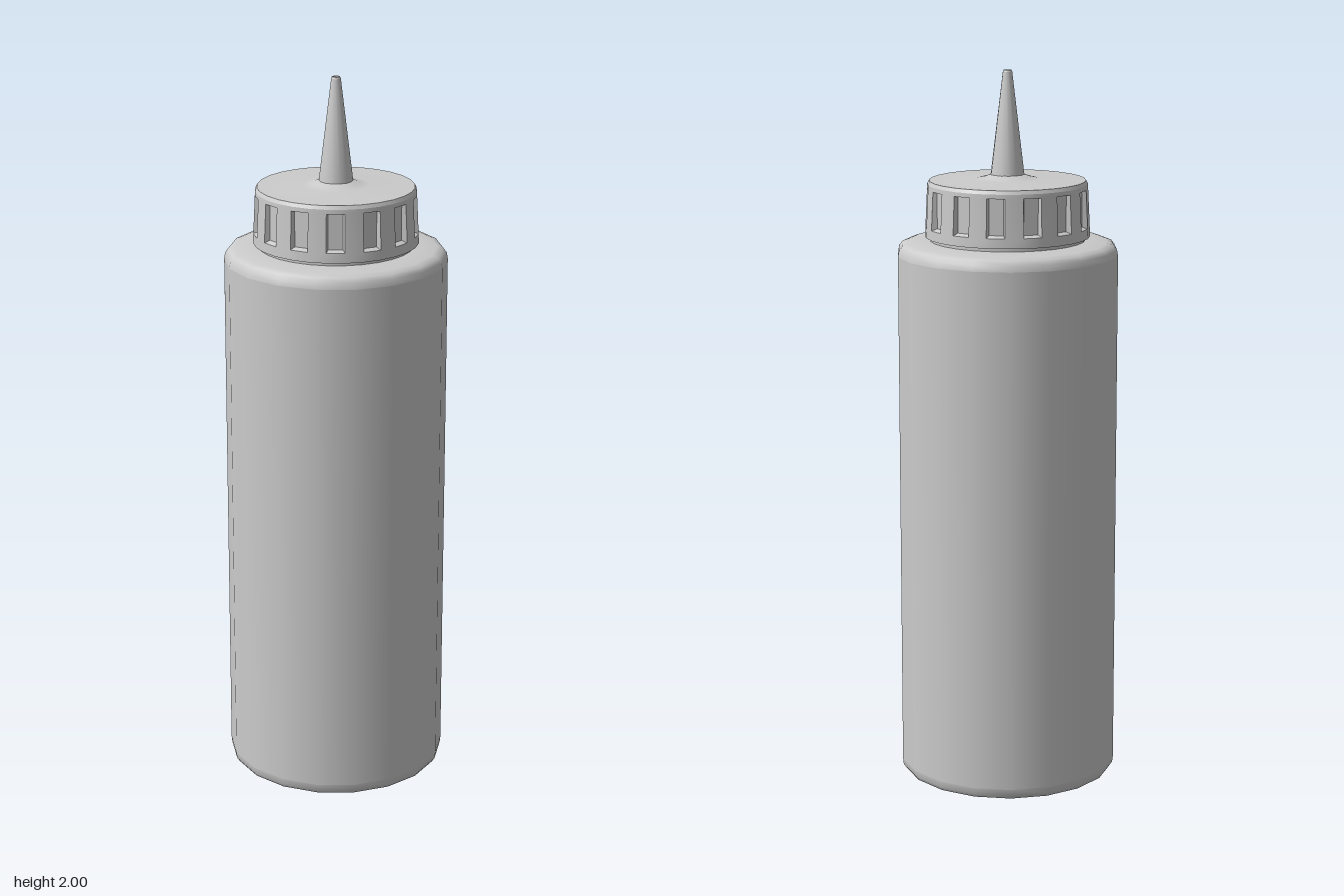
import * as THREE from 'three';
import { toCreasedNormals } from 'three/addons/utils/BufferGeometryUtils.js';

const material = new THREE.MeshStandardMaterial({ color: 0xcccccc, side: THREE.DoubleSide });

// Revolves a [radius, height] profile; a repeated point makes a sharp edge.
function lathe(name, profile, sides, phiStart = 0) {
  const points = profile.map(([r, y]) => new THREE.Vector2(r, y));
  const mesh = new THREE.Mesh(new THREE.LatheGeometry(points, sides, phiStart), material);
  mesh.name = name;
  return mesh;
}

// Ribbed cap wall: every other one of its facets carries a recessed grip notch.
function createCapWall() {
  const facets = 28;
  const bottom = 1.545, top = 1.69, notchLow = 1.572, notchHigh = 1.678;
  const radiusAt = (y) => 0.228 - 0.007 * (y - bottom) / (top - bottom);
  const floorRadius = 0.211;
  const positions = [];
  const point = (r, angle, y) => [r * Math.sin(angle), y, r * Math.cos(angle)];
  const quad = (a, b, c, d) => positions.push(...a, ...b, ...c, ...a, ...c, ...d);

  for (let i = 0; i < facets; i++) {
    const a = ((i - 0.5) / facets) * Math.PI * 2;
    const b = ((i + 0.5) / facets) * Math.PI * 2;
    const outer = (angle, y) => point(radiusAt(y), angle, y);
    const panel = (y0, y1) => quad(outer(a, y0), outer(b, y0), outer(b, y1), outer(a, y1));
    panel(bottom, notchLow);
    panel(notchHigh, top);
    if (i % 2) {
      panel(notchLow, notchHigh);
      continue;
    }
    // Notch floor, sides, ledge and ceiling
    const rim = [outer(a, notchLow), outer(b, notchLow), outer(b, notchHigh), outer(a, notchHigh)];
    const inset = 0.08 * (b - a);
    const floor = [
      point(floorRadius, a + inset, notchLow + 0.006), point(floorRadius, b - inset, notchLow + 0.006),
      point(floorRadius, b - inset, notchHigh), point(floorRadius, a + inset, notchHigh),
    ];
    quad(...floor);
    for (let k = 0; k < 4; k++) {
      const n = (k + 1) % 4;
      quad(rim[k], rim[n], floor[n], floor[k]);
    }
  }

  const geometry = new THREE.BufferGeometry();
  geometry.setAttribute('position', new THREE.Float32BufferAttribute(positions, 3));
  const mesh = new THREE.Mesh(toCreasedNormals(geometry, Math.PI / 7), material);
  mesh.name = 'capWall';
  return mesh;
}

export function createModel() {
  const model = new THREE.Group();
  model.name = 'squeezeBottle';

  // Bottle body with rounded base and shoulder
  model.add(lathe('body', [
    [0, 0], [0.282, 0], [0.282, 0], [0.297, 0.006], [0.305, 0.018], [0.307, 0.035], [0.307, 0.035],
    [0.307, 1.495], [0.307, 1.495], [0.304, 1.512], [0.295, 1.524], [0.278, 1.53],
    [0.235, 1.535], [0.2, 1.535],
  ], 18, Math.PI / 2));

  // Neck ring between the shoulder and the cap
  model.add(lathe('neck', [[0.215, 1.525], [0.215, 1.55]], 28, Math.PI / 28));

  // Cap: ribbed wall, underside and gently raised lid
  const cap = new THREE.Group();
  cap.name = 'cap';
  cap.add(createCapWall());
  cap.add(lathe('capUnderside', [[0.2, 1.545], [0.228, 1.545]], 28, Math.PI / 28));
  cap.add(lathe('capLid', [
    [0.221, 1.69], [0.216, 1.7], [0.216, 1.7], [0.09, 1.703], [0.065, 1.708], [0.045, 1.716], [0.04, 1.716],
  ], 28, Math.PI / 28));
  model.add(cap);

  // Tapered nozzle with a small open bore
  model.add(lathe('nozzle', [
    [0.048, 1.705], [0.013, 1.995], [0.013, 1.995], [0.011, 2], [0.011, 2],
    [0.008, 2], [0.008, 2], [0.008, 1.9], [0.008, 1.9], [0, 1.9],
  ], 14, Math.PI / 14));

  return model;
}
